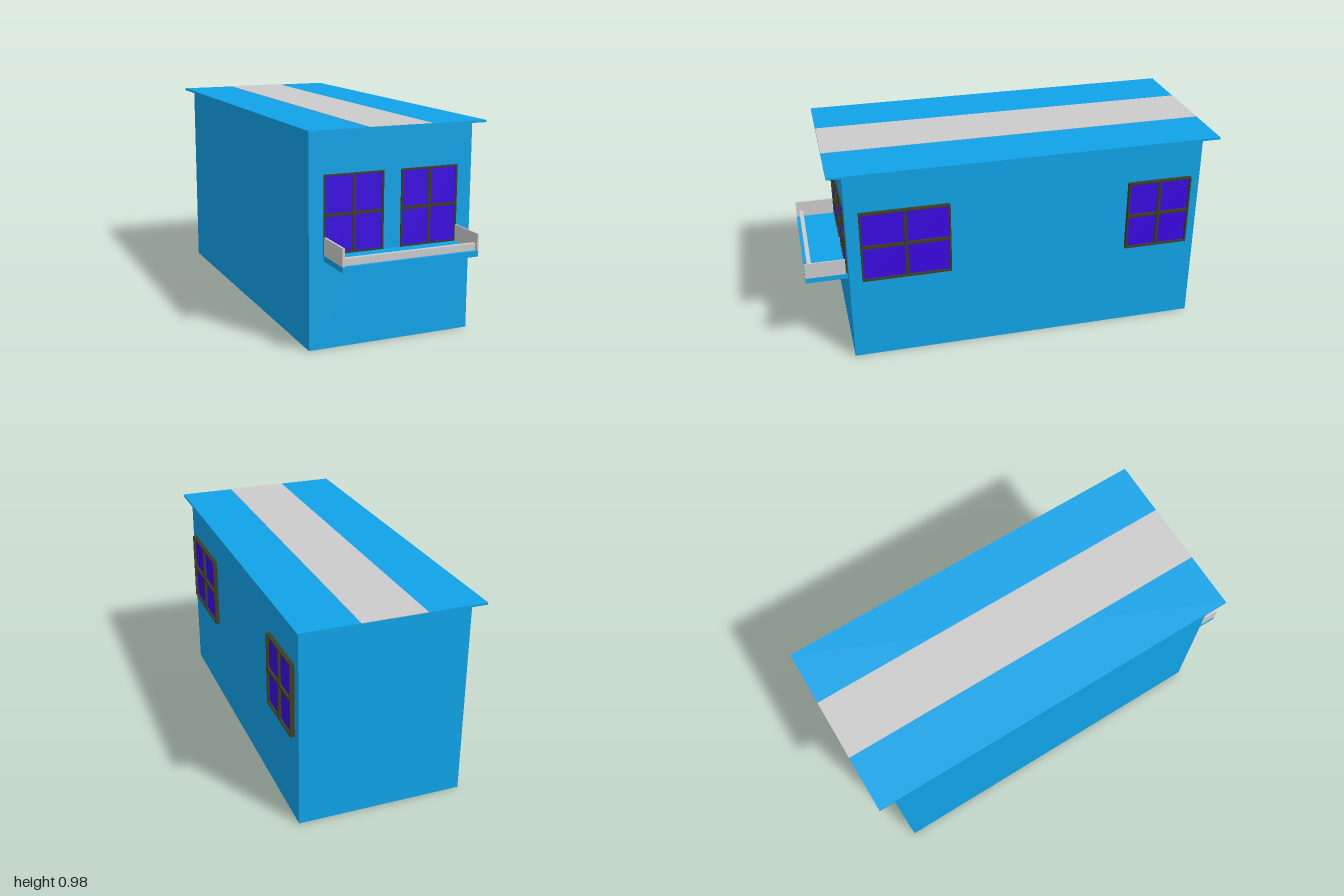
import * as THREE from 'three';

const mat = (color) => new THREE.MeshStandardMaterial({ color });

export function createModel() {
  const model = new THREE.Group();
  const blue = mat(0x10a3e8), grey = mat(0xcccccc), glassMat = mat(0x3b0ae3), frameMat = mat(0x3c3f22);

  // Box given by its minimum and maximum corners
  const box = (name, material, [x0, y0, z0], [x1, y1, z1], parent = model) => {
    const mesh = new THREE.Mesh(new THREE.BoxGeometry(x1 - x0, y1 - y0, z1 - z0), material);
    mesh.position.set((x0 + x1) / 2, (y0 + y1) / 2, (z0 + z1) / 2);
    mesh.name = name;
    parent.add(mesh);
    return mesh;
  };

  // Four-pane window: an extruded frame with holes over recessed glass, facing +z
  const makeWindow = (name, w, h, depth, border = 0.008, bar = 0.014) => {
    const group = new THREE.Group();
    group.name = name;
    const rect = (path, x0, y0, x1, y1) =>
      path.moveTo(x0, y0).lineTo(x1, y0).lineTo(x1, y1).lineTo(x0, y1).closePath();
    const outline = rect(new THREE.Shape(), -w / 2, -h / 2, w / 2, h / 2);
    const pw = w / 2 - border, ph = h / 2 - border, b = bar / 2;
    for (const [x0, x1] of [[-pw, -b], [b, pw]])
      for (const [y0, y1] of [[-ph, -b], [b, ph]])
        outline.holes.push(rect(new THREE.Path(), x0, y0, x1, y1));
    const frame = new THREE.Mesh(
      new THREE.ExtrudeGeometry(outline, { depth, bevelEnabled: false }), frameMat);
    frame.name = 'windowFrame';
    group.add(frame);
    box('windowGlass', glassMat, [-pw, -ph, 0], [pw, ph, depth * 0.4], group);
    model.add(group);
    return group;
  };

  // Building and overhanging roof
  box('building', blue, [-0.397, 0, -0.925], [0.395, 0.97, 0.802]);
  box('roof', blue, [-0.428, 0.97, -1], [0.425, 0.98, 0.87]);
  box('roofStripe', grey, [-0.15, 0.979, -1], [0.152, 0.982, 0.87]);

  // Front windows
  const winY = 0.602, winH = 0.353;
  for (const [x0, x1] of [[-0.329, -0.044], [0.041, 0.323]])
    makeWindow('frontWindow', x1 - x0, winH, 0.007).position.set((x0 + x1) / 2, winY, 0.801);

  // Windows on the left wall
  for (const [z0, z1] of [[0.317, 0.741], [-0.876, -0.557]]) {
    const win = makeWindow('sideWindow', z1 - z0, winH, 0.021);
    win.rotation.y = Math.PI / 2;
    win.position.set(0.395, winY, (z0 + z1) / 2);
  }

  // Serving shelf with end plates and a front lip
  box('shelf', blue, [-0.329, 0.4, 0.8], [0.323, 0.425, 1]);
  box('shelfLip', grey, [-0.32, 0.425, 0.965], [0.318, 0.457, 0.985]);
  box('shelfEndRight', grey, [-0.329, 0.425, 0.81], [-0.319, 0.506, 1]);
  box('shelfEndLeft', grey, [0.316, 0.425, 0.81], [0.323, 0.503, 1]);

  return model;
}
